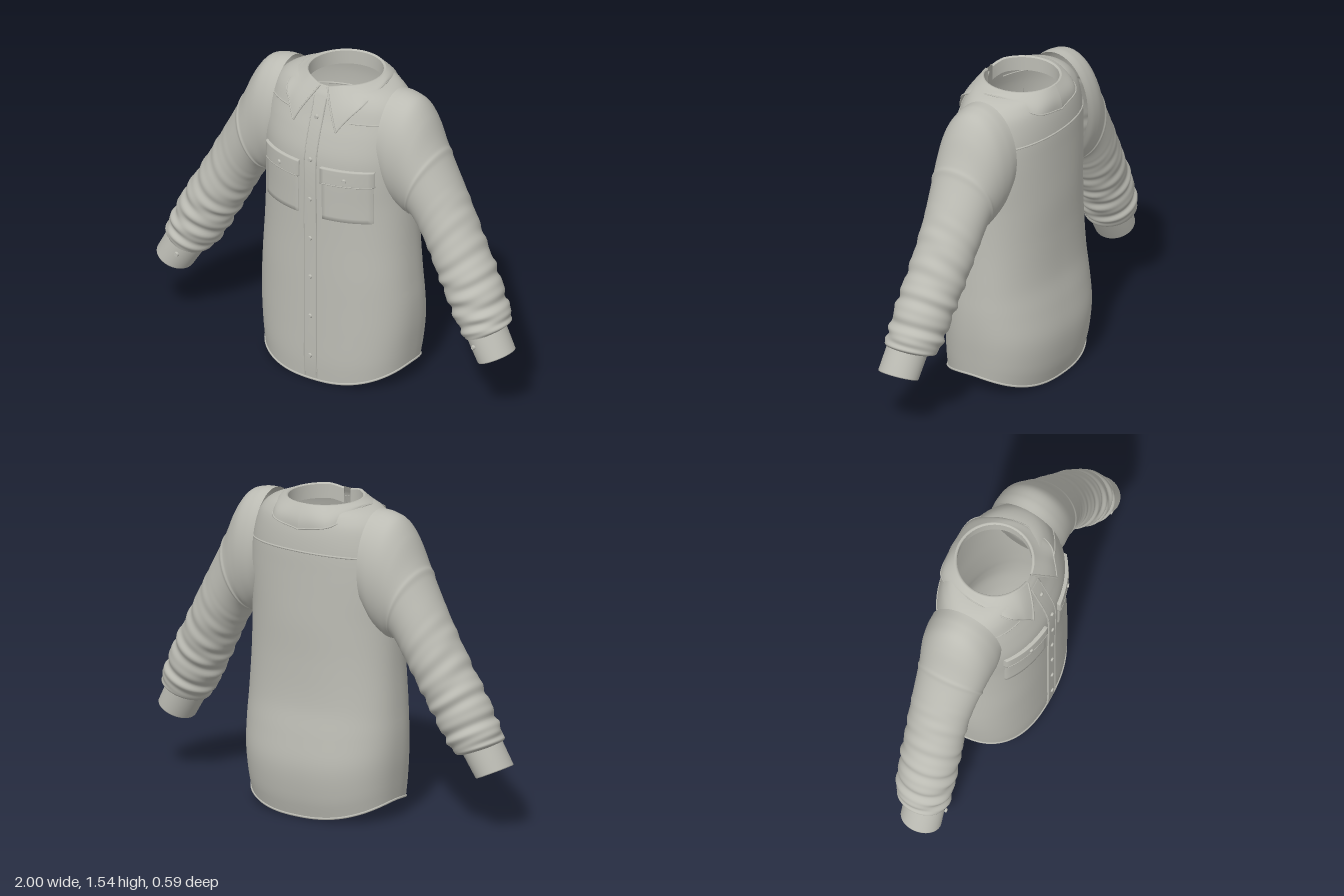
import * as THREE from 'three';

const fabric = new THREE.MeshStandardMaterial({ color: 0xbcbcb4, side: THREE.DoubleSide });
fabric.name = 'greyFabric';
const V = (x, y, z) => new THREE.Vector3(x, y, z);

// Smooth lookup in a table of rows [key, a, b, ...]
function sample(table, t) {
  let i = 0;
  while (i < table.length - 2 && t > table[i + 1][0]) i++;
  const p = table[i], q = table[i + 1], h = q[0] - p[0];
  const o = table[Math.max(i - 1, 0)], r = table[Math.min(i + 2, table.length - 1)];
  const s = Math.min(Math.max((t - p[0]) / h, 0), 1), s2 = s * s, s3 = s2 * s;
  return p.map((_, k) => {
    const m0 = (q[k] - o[k]) / (q[0] - o[0]) * h, m1 = (r[k] - p[k]) / (r[0] - p[0]) * h;
    return p[k] * (2 * s3 - 3 * s2 + 1) + m0 * (s3 - 2 * s2 + s) + q[k] * (3 * s2 - 2 * s3) + m1 * (s3 - s2);
  });
}

// Skin a list of point rows; closed rows wrap round
function loft(rows, closed = true) {
  const n = rows[0].length, idx = [];
  for (let j = 0; j < rows.length - 1; j++) {
    for (let i = 0; i < (closed ? n : n - 1); i++) {
      const a = j * n + i, b = j * n + (i + 1) % n;
      idx.push(a, a + n, b, b, a + n, b + n);
    }
  }
  const g = new THREE.BufferGeometry().setFromPoints(rows.flat());
  g.setIndex(idx);
  g.computeVertexNormals();
  return g;
}

const seq = (n, f) => Array.from({ length: n + 1 }, (_, i) => f(i / n));

// Torso: height, half width, front z, back depth, squareness
const body = [
  [0, .385, .275, .25, 2.4], [.1, .395, .28, .275, 2.4], [.25, .407, .28, .29, 2.35], [.4, .41, .28, .273, 2.3],
  [.55, .404, .28, .25, 2.3], [.75, .395, .28, .245, 2.2], [.95, .393, .283, .25, 2.1], [1.1, .398, .284, .25, 2.1],
  [1.2, .398, .278, .25, 2.1], [1.3, .388, .253, .25, 2.1], [1.38, .37, .225, .245, 2.1], [1.44, .345, .205, .235, 2.1],
  [1.48, .31, .19, .225, 2], [1.505, .26, .175, .215, 2], [1.522, .19, .165, .203, 2],
];
function torsoPoint(a, y) {
  const [, w, zf, zb, n] = sample(body, y);
  const c = Math.cos(a), s = Math.sin(a);
  const pw = (v) => Math.sign(v) * Math.abs(v) ** (2 / n);
  const rise = .085 * (1 - pw(s) ** 2) * Math.max(0, 1 - y / .5);
  return V(w * pw(c), y + rise, (s > 0 ? zf : zb) * pw(s));
}
function frontPoint(x, y, off = 0) {
  const [, w, zf, , n] = sample(body, y);
  return V(x, y, zf * Math.max(0, 1 - Math.abs(x / w) ** n) ** (1 / n) + off);
}

// Raised panel that follows the chest, with its rim sunk into the torso
function panel(x0, x1, y0, y1, off) {
  const n = 14, at = (a, b, k) => a + (b - a) * Math.min(Math.max((k - 1) / (n - 2), 0), 1);
  return loft(seq(n, (v) => seq(n, (u) => {
    const i = Math.round(u * n), j = Math.round(v * n);
    const rim = i === 0 || j === 0 || i === n || j === n;
    return frontPoint(at(x0, x1, i), at(y0, y1, j), rim ? -.006 : off);
  })), false);
}

// Sleeve: key, outer x y, inner x y, half depth, centre z
const arm = [
  [0, .30, 1.512, .30, .98, .185, -.01], [1, .36, 1.508, .335, .93, .188, -.01], [2, .425, 1.483, .37, .905, .183, -.01],
  [3, .48, 1.41, .392, .895, .175, -.008], [4, .53, 1.30, .415, .90, .166, -.005], [5, .585, 1.19, .44, .885, .158, -.005],
  [6, .65, 1.07, .475, .83, .15, -.005], [7, .72, .94, .52, .75, .145, 0], [8, .795, .80, .57, .655, .142, .01],
  [9, .865, .68, .62, .565, .14, .02], [10, .92, .56, .675, .465, .136, .03], [11, .957, .47, .735, .38, .128, .04],
  [11.3, .94, .445, .755, .37, .108, .055],
];
const cuffPath = [[0, .925, .485, .74, .405, .099, .055], [1, 1, .34, .832, .262, .1, .066]];

function armRing(row, s, scale = () => 1) {
  const [, ox, oy, ix, iy, d, z] = row;
  return seq(47, (u) => {
    const a = u * 47 / 48 * Math.PI * 2, k = scale(a), c = Math.cos(a) * k / 2;
    return V(s * ((ox + ix) / 2 + (ox - ix) * c), (oy + iy) / 2 + (oy - iy) * c, z + d * k * Math.sin(a));
  });
}
// Cloth folds, deeper towards the wrist
function folds(t, a) {
  const low = Math.min(Math.max((t - 5.5) / 4, 0), 1) * Math.min(1, Math.max(0, (11.3 - t) * 2));
  const seam = .03 * Math.exp(-(((t - 4.2 - .3 * Math.cos(a)) / .13) ** 2));
  const ripple = Math.sin(t * 7.5 + 1.3 * Math.sin(a) + .8 * Math.sin(2 * a + t));
  return 1 + seam + low * (.04 * ripple + .02 * Math.sin(t * 13 + 2 * Math.cos(a)));
}

// Collar: top runs round the neck, bottom edge by table [u, x, y, z]
const collarEdge = [
  [0, .12, 1.338, .25], [.15, .16, 1.40, .218], [.35, .215, 1.47, .155], [.55, .225, 1.515, -.02],
  [.8, .165, 1.45, -.217], [1, 0, 1.418, -.25],
];
function neckPoint(u, r, y) {
  const a = (.035 + .965 * Math.abs(u)) * Math.PI;
  return V(Math.sign(u) * r * Math.sin(a), y - .016 * Math.max(0, 1 - Math.abs(u) * 8), -.02 + r * Math.cos(a));
}
function collarPoint(u, v) {
  const [, x, y, z] = sample(collarEdge, Math.abs(u));
  const p = neckPoint(u, .19, 1.534).lerp(V(Math.sign(u) * x, y, z), v);
  const bulge = 1 + .05 * Math.sin(Math.PI * v);
  return V(p.x * bulge, p.y, p.z * bulge);
}

export function createModel() {
  const shirt = new THREE.Group();
  shirt.name = 'shirt';
  const add = (name, geo) => {
    const m = new THREE.Mesh(geo, fabric);
    m.name = name;
    shirt.add(m);
    return m;
  };
  const cord = (name, pts, r = .004, closed = false) =>
    add(name, new THREE.TubeGeometry(new THREE.CatmullRomCurve3(pts, closed), pts.length * 2, r, 6, closed));
  const button = (name, p, dir) => {
    const b = add(name, new THREE.CylinderGeometry(.009, .012, .01, 14));
    b.position.copy(p);
    b.quaternion.setFromUnitVectors(V(0, 1, 0), dir.normalize());
  };

  // Torso and hem
  const around = (y) => seq(95, (u) => torsoPoint(u * 95 / 96 * Math.PI * 2, y));
  add('torso', loft(seq(90, (t) => around(1.522 * (1 - (1 - t) ** 1.8)))));
  cord('hem', around(.003), .006, true);

  // Button placket with stitched edges
  add('placket', panel(-.036, .036, .012, 1.47, .005));
  for (const s of [-1, 1]) cord('placketStitch', seq(40, (t) => frontPoint(s * .033, .015 + 1.43 * t, .005)), .003);
  for (const y of [.13, .34, .55, .755, .965, 1.175, 1.38]) button('frontButton', frontPoint(0, y, .008), V(0, 0, 1));

  // Back yoke seam
  cord('backYokeSeam', seq(40, (t) => torsoPoint(Math.PI * (1.08 + .84 * t), 1.29 + .02 * Math.sin(Math.PI * t))), .005);

  for (const s of [-1, 1]) {
    // Chest pocket, flap and front yoke seam
    const lo = Math.min(s * .068, s * .3), hi = Math.max(s * .068, s * .3);
    add('pocket', panel(lo, hi, .88, 1.14, .008));
    add('pocketFlap', panel(lo - .006, hi + .006, 1.072, 1.155, .017));
    cord('flapEdge', seq(12, (t) => frontPoint(lo + (hi - lo) * t, 1.074, .015)), .004);
    button('pocketButton', frontPoint(s * .185, 1.105, .02), V(s * .35, 0, 1));
    cord('frontYokeSeam', seq(12, (t) => frontPoint(s * (.17 + .17 * t), 1.38)), .004);

    // Sleeve
    add('sleeve', loft(seq(170, (t) => armRing(sample(arm, t * 11.3), s, (a) => folds(t * 11.3, a)))));

    // Cuff with a turned-in edge
    const cuffRows = [[0, 1], [.5, 1], [.97, 1], [1, .98], [1, .92], [.97, .9], [0, .9]];
    add('cuff', loft(cuffRows.map(([t, k]) => armRing(sample(cuffPath, t), s, () => k))));
    button('cuffButton', V(s * .845, .365, .163), V(s * -.1, 0, 1));
  }

  // Collar stand and folded collar
  const half = (f) => [...seq(30, (t) => f(-Math.max(t, .0001))).reverse()].reverse();
  for (const s of [-1, 1]) {
    const side = (f) => half((u) => f(s * -u));
    add('collarStand', loft([1.46, 1.5, 1.53].map((y) => side((u) => neckPoint(u, .18, y))), false));
    add('collarTop', loft([.178, .184, .19].map((r, i) => side((u) => neckPoint(u, r, [1.53, 1.537, 1.534][i]))), false));
    add('collar', loft(seq(10, (v) => side((u) => collarPoint(u, v))), false));
    cord('collarEdge', side((u) => collarPoint(u, 1)), .004);
    cord('collarFrontEdge', seq(10, (v) => collarPoint(s * .0001, v)), .005);
  }
  return shirt;
}
